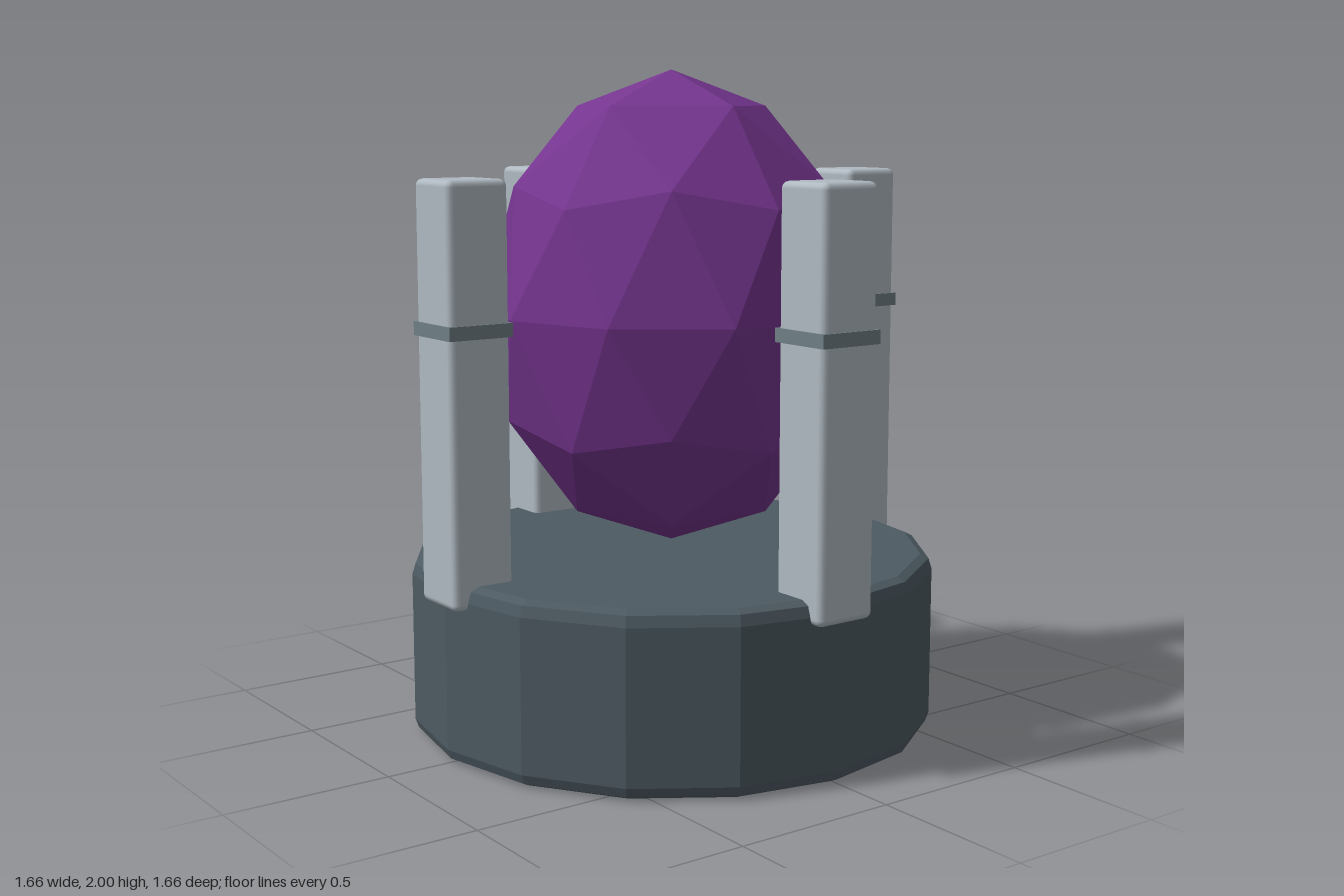
import * as THREE from 'three';
import { RoundedBoxGeometry } from 'three/addons/geometries/RoundedBoxGeometry.js';

const paint = (color, flatShading = true) => new THREE.MeshStandardMaterial({ color, flatShading });

function part(name, geometry, material, parent) {
  const mesh = new THREE.Mesh(geometry, material);
  mesh.name = name;
  parent.add(mesh);
  return mesh;
}

export function createModel() {
  const model = new THREE.Group();
  model.name = 'gemPedestal';

  // Sixteen-sided base with bevelled rims
  const profile = [
    [0, 0], [0.77, 0], [0.795, 0.012], [0.805, 0.04],
    [0.805, 0.495], [0.795, 0.527], [0.77, 0.54], [0, 0.54],
  ].map(([r, y]) => new THREE.Vector2(r, y));
  const baseGeometry = new THREE.LatheGeometry(profile, 16).toNonIndexed();
  baseGeometry.computeVertexNormals();
  part('base', baseGeometry, paint(0x4d5a62), model);

  // Faceted egg-shaped gem, turned so that a corner points straight up
  const gemGeometry = new THREE.IcosahedronGeometry(1, 1);
  gemGeometry.rotateZ(-Math.atan(2 / (1 + Math.sqrt(5))));
  gemGeometry.scale(0.575, 0.72, 0.575);
  gemGeometry.computeVertexNormals();
  part('gem', gemGeometry, paint(0x75358f), model).position.y = 1.28;

  // Four pillars around the rim, each with a thin band
  const pillarGeometry = new RoundedBoxGeometry(0.195, 1.22, 0.195, 2, 0.02);
  const bandGeometry = new THREE.BoxGeometry(0.205, 0.04, 0.205);
  const pillarPaint = paint(0xb0bac2, false);
  const bandPaint = paint(0x6f7f86);
  for (let i = 0; i < 4; i++) {
    const post = new THREE.Group();
    post.name = 'post' + (i + 1);
    post.rotation.y = i * Math.PI / 2;
    part('pillar', pillarGeometry, pillarPaint, post).position.set(0, 1.082, 0.73);
    part('band', bandGeometry, bandPaint, post).position.set(0, 1.268, 0.73);
    model.add(post);
  }

  return model;
}
